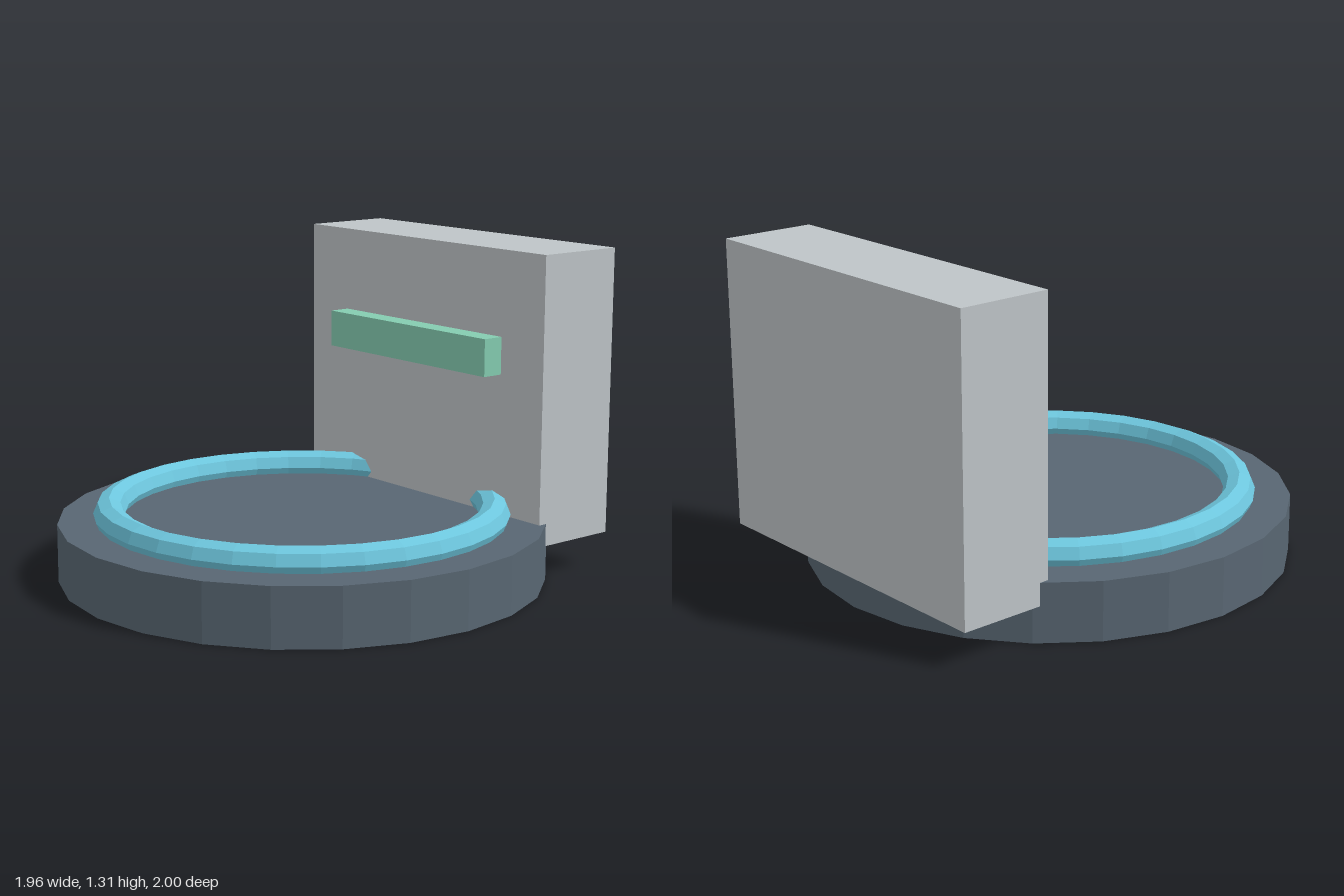
import * as THREE from 'three';

const material = (name, color) => {
  const m = new THREE.MeshStandardMaterial({ color, flatShading: true });
  m.name = name;
  return m;
};

export function createModel() {
  const slate = material('slate', 0x586672);
  const cyan = material('cyan', 0x6dc6dd);
  const grey = material('light grey', 0xbec4c7);
  const green = material('mint green', 0x84ccb0);

  const model = new THREE.Group();
  const add = (name, geometry, mat, x, y, z) => {
    const mesh = new THREE.Mesh(geometry, mat);
    mesh.name = name;
    mesh.position.set(x, y, z);
    model.add(mesh);
    return mesh;
  };

  // Round faceted base
  add('base', new THREE.CylinderGeometry(0.98, 0.98, 0.236, 24), slate, 0, 0.118, 0.02);

  // Ring half sunk into the top of the base
  const ring = new THREE.TorusGeometry(0.773, 0.064, 8, 32).rotateX(-Math.PI / 2);
  add('ring', ring, cyan, 0, 0.263, 0.02);

  // Upright back panel
  add('backPanel', new THREE.BoxGeometry(1.42, 1.165, 0.386), grey, 0, 0.7275, -0.807);

  // Bar across the front of the panel, seated slightly into it
  add('panelBar', new THREE.BoxGeometry(0.952, 0.152, 0.127), green, 0, 0.885, -0.5865);

  return model;
}
